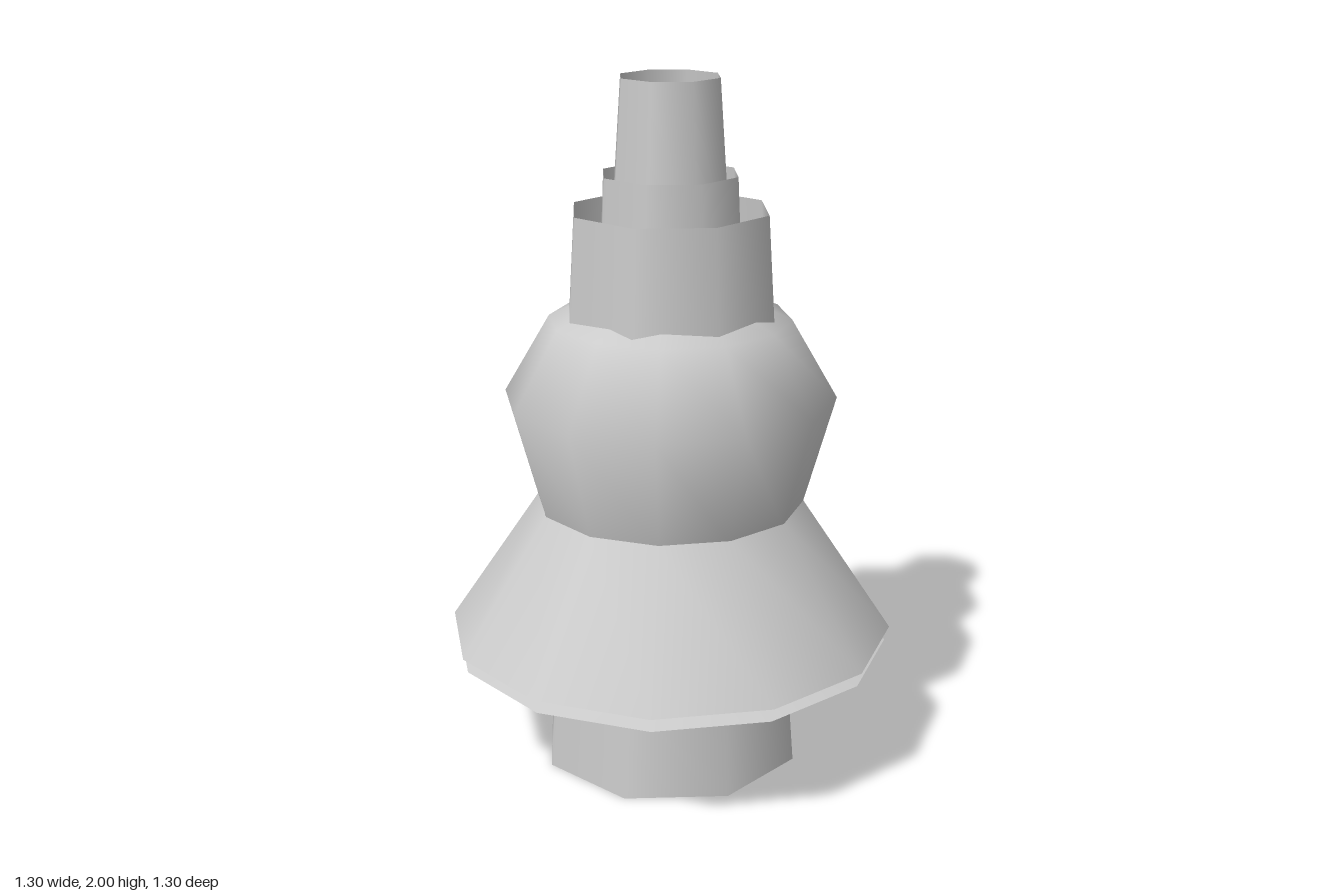
import * as THREE from 'three';

const material = new THREE.MeshStandardMaterial({ color: 0xcccccc, side: THREE.DoubleSide });

// Turned shell from [radius, height] points listed from bottom to top
function turned(name, sides, profile) {
  const points = profile.map(([r, y]) => new THREE.Vector2(r, y));
  const mesh = new THREE.Mesh(new THREE.LatheGeometry(points, sides), material);
  mesh.name = name;
  return mesh;
}

export function createModel() {
  const model = new THREE.Group();
  model.name = 'turnedFinial';

  // Open octagonal foot with a second sleeve inside it
  model.add(turned('footSleeve', 8, [[0.388, 0], [0.365, 0.29]]));
  model.add(turned('innerFootSleeve', 8, [[0.285, 0], [0.275, 0.22]]));

  // Shallow saucer, then the narrow groove under the skirt
  model.add(turned('saucer', 12, [[0.27, 0.215], [0.637, 0.353]]));
  model.add(turned('saucerTop', 12, [[0.637, 0.353], [0.565, 0.374]]));
  model.add(turned('skirtLip', 12, [[0.565, 0.374], [0.65, 0.395]]));

  // Flared skirt
  model.add(turned('skirt', 12, [[0.65, 0.395], [0.388, 0.785]]));

  // Waisted bulb with a shallow domed top
  model.add(turned('bulb', 12, [[0.385, 0.775], [0.476, 1.1], [0.345, 1.325], [0.2, 1.39], [0, 1.43]]));

  // Nested open octagonal tubes rising from the dome
  const tubes = [
    ['lowerTube', 0.308, 1.32, 0.288, 1.635],
    ['middleTube', 0.215, 1.37, 0.198, 1.735],
    ['topTube', 0.188, 1.38, 0.145, 2],
  ];
  for (const [name, r0, y0, r1, y1] of tubes) model.add(turned(name, 8, [[r0, y0], [r1, y1]]));

  return model;
}
